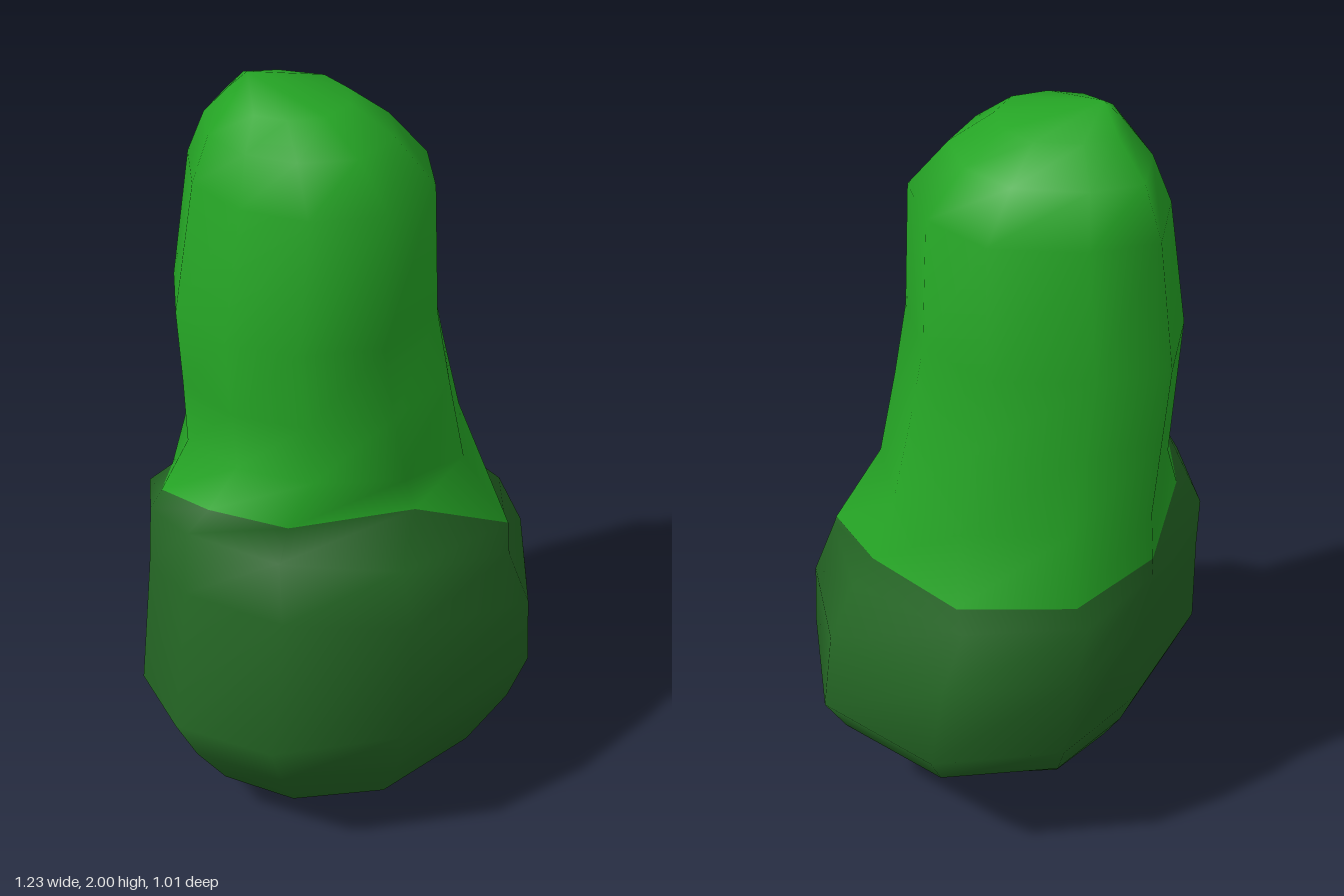
import * as THREE from 'three';

// Ten-sided cross-sections [x, z], starting at the front and turning towards +x
const baseShape = [[.18, .5], [.51, .29], [.61, -.08], [.42, -.375], [.12, -.45],
  [-.29, -.45], [-.49, -.31], [-.615, -.1], [-.57, .18], [-.31, .42]];
const seamShape = [[.21, .41], [.38, .21], [.49, -.09], [.37, -.37], [.12, -.475],
  [-.2, -.41], [-.37, -.31], [-.44, -.1], [-.38, .11], [-.05, .28]];
const neckShape = [[.09, .24], [.27, .1], [.345, -.11], [.25, -.36], [.11, -.505],
  [-.13, -.44], [-.3, -.3], [-.36, -.1], [-.31, .09], [-.15, .24]];

// The colour seam rises towards the right-hand side
const tilt = [-.07, -.04, -.04, -.03, 0, .03, .07, .12, .11, .06];

// y, tilt amount, x min, x max, z min, z max, cross-section
const rings = [
  [0.005, 0, -.18, .12, -.09, .17, baseShape],
  [0.05, 0, -.35, .22, -.2, .28, baseShape],
  [0.12, 0, -.46, .34, -.31, .39, baseShape],
  [0.25, 0, -.555, .52, -.385, .465, baseShape],
  [0.37, 0, -.615, .61, -.44, .505, baseShape],
  [0.62, 1, -.535, .575, -.46, .495, baseShape],
  [0.77, 1, -.49, .51, -.472, .445, baseShape],
  [0.83, 1, -.44, .485, -.475, .41, seamShape],
  [1.0, .5, -.375, .43, -.485, .305, neckShape],
  [1.2, 0, -.36, .385, -.495, .268, neckShape],
  [1.4, 0, -.36, .345, -.505, .245, neckShape],
  [1.75, 0, -.3, .316, -.465, .23, neckShape],
  [1.87, 0, -.245, .22, -.4, .135, neckShape],
  [1.95, 0, -.185, .12, -.31, .03, neckShape],
];
const seamRing = 7;
const sides = 10;

// Stretch a cross-section to fill the given extents
function fit(shape, axis, lo, hi, i) {
  const values = shape.map((p) => p[axis]);
  return THREE.MathUtils.mapLinear(values[i], Math.min(...values), Math.max(...values), lo, hi);
}

function bodyGeometry() {
  const positions = [];
  for (const [y, lean, x0, x1, z0, z1, shape] of rings) {
    for (let i = 0; i < sides; i++) {
      positions.push(fit(shape, 0, x0, x1, i), y + lean * tilt[i], fit(shape, 1, z0, z1, i));
    }
  }
  const bottom = rings.length * sides;
  const top = bottom + 1;
  positions.push(-.03, 0, .04, -.07, 2, -.23);

  const index = [];
  for (let i = 0; i < sides; i++) index.push(bottom, (i + 1) % sides, i);
  let lowerCount = 0;
  for (let r = 0; r < rings.length - 1; r++) {
    if (r === seamRing) lowerCount = index.length;
    for (let i = 0; i < sides; i++) {
      const a = r * sides + i;
      const b = r * sides + (i + 1) % sides;
      index.push(a, b, b + sides, a, b + sides, a + sides);
    }
  }
  const last = (rings.length - 1) * sides;
  for (let i = 0; i < sides; i++) index.push(last + i, last + (i + 1) % sides, top);

  const geometry = new THREE.BufferGeometry();
  geometry.setAttribute('position', new THREE.Float32BufferAttribute(positions, 3));
  geometry.setIndex(index);
  // Both colours share one smooth skin
  geometry.addGroup(0, lowerCount, 0);
  geometry.addGroup(lowerCount, index.length - lowerCount, 1);
  geometry.computeVertexNormals();
  return geometry;
}

export function createModel() {
  const darkGreen = new THREE.MeshStandardMaterial({ color: 0x246624 });
  darkGreen.name = 'dark green';
  const brightGreen = new THREE.MeshStandardMaterial({ color: 0x25a525 });
  brightGreen.name = 'bright green';

  const body = new THREE.Mesh(bodyGeometry(), [darkGreen, brightGreen]);
  body.name = 'roundedBody';

  const model = new THREE.Group();
  model.name = 'shrub';
  model.add(body);
  return model;
}
